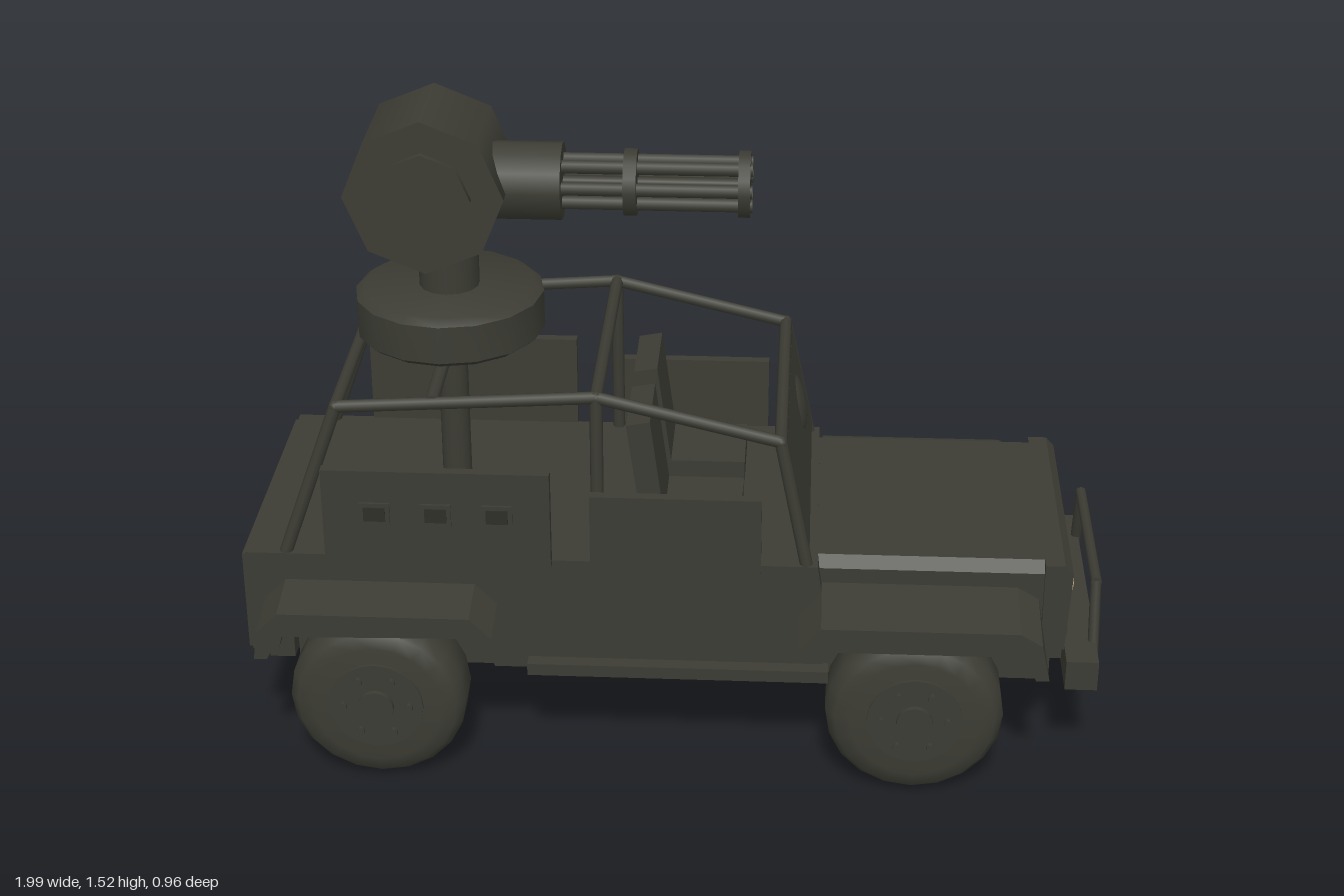
import * as THREE from 'three';
import { toCreasedNormals } from 'three/addons/utils/BufferGeometryUtils.js';

export function createModel() {
  const root = new THREE.Group();
  root.name = 'armedUtilityVehicle';
  const mat = (name, color) => Object.assign(new THREE.MeshStandardMaterial({ color }), { name });
  const olive = mat('darkOlive', 0x3c3c34);
  const dark = mat('slotDark', 0x2e2e28);
  const cream = mat('lampCream', 0xe3cd9c);

  const add = (name, geo, m = olive, parent = root) => {
    const mesh = new THREE.Mesh(geo, m);
    mesh.name = name;
    parent.add(mesh);
    return mesh;
  };
  // Box given by its limits on each axis
  const box = (name, x0, x1, y0, y1, z0, z1, m, parent) => {
    const g = new THREE.BoxGeometry(x1 - x0, y1 - y0, z1 - z0);
    return add(name, g.translate((x0 + x1) / 2, (y0 + y1) / 2, (z0 + z1) / 2), m, parent);
  };
  // Straight rod between two points
  const rod = (name, a, b, r, sides = 8) => {
    const A = new THREE.Vector3(...a), B = new THREE.Vector3(...b);
    const d = B.clone().sub(A);
    const mesh = add(name, new THREE.CylinderGeometry(r, r, d.length(), sides));
    mesh.position.copy(A).add(B).multiplyScalar(0.5);
    mesh.quaternion.setFromUnitVectors(new THREE.Vector3(0, 1, 0), d.normalize());
    return mesh;
  };
  // Side profile pushed out from z0 to z1
  const slab = (pts, z0, z1) => {
    const shape = new THREE.Shape(pts.map(p => new THREE.Vector2(...p)));
    return new THREE.ExtrudeGeometry(shape, { depth: z1 - z0, bevelEnabled: false }).translate(0, 0, z0);
  };

  // Body tub with wheel arches, and the narrower chassis
  add('bodyTub', slab([
    [-0.99, 0.28], [-0.93, 0.28], [-0.89, 0.42], [-0.47, 0.42], [-0.42, 0.25],
    [0.34, 0.25], [0.36, 0.33], [0.33, 0.54], [-0.99, 0.54]], -0.35, 0.35));
  box('chassis', -0.9, 0.88, 0.2, 0.36, -0.26, 0.26);
  box('innerBody', -0.97, 0.86, 0.3, 0.535, -0.295, 0.295);
  box('tailgate', -1, -0.93, 0.28, 0.53, -0.34, 0.34);
  for (const s of [-1, 1]) {
    box('rearHook', -0.96, -0.9, 0.235, 0.29, s * 0.26 - 0.05, s * 0.26 + 0.05);
    box('sideStep', -0.34, 0.36, 0.25, 0.28, s * 0.365 - 0.02, s * 0.365 + 0.02);
  }

  // Hood with a chamfered top, and the nose
  const hood = slab([[-0.31, 0.4], [0.31, 0.4], [0.31, 0.515], [0.29, 0.542], [-0.29, 0.542], [-0.31, 0.515]], 0.33, 0.87);
  add('hood', hood.rotateY(Math.PI / 2));
  add('grillePanel', slab([[0.85, 0.32], [0.905, 0.32], [0.915, 0.52], [0.895, 0.542], [0.85, 0.542]], -0.32, 0.32));
  for (let i = -3; i <= 3; i++) {
    box('grilleSlot', 0.91, 0.916, 0.36, 0.51, i * 0.05 - 0.01, i * 0.05 + 0.01, dark);
  }
  for (const s of [-1, 1]) {
    const lamp = add('headlight', new THREE.SphereGeometry(0.036, 16, 10), cream);
    lamp.scale.x = 0.4;
    lamp.position.set(0.912, 0.455, s * 0.23);
    const rim = add('headlightRim', new THREE.TorusGeometry(0.037, 0.005, 6, 16).rotateY(Math.PI / 2));
    rim.position.set(0.914, 0.455, s * 0.23);
    box('bumperBracket', 0.84, 0.92, 0.24, 0.33, s * 0.2 - 0.03, s * 0.2 + 0.03);
    rod('guardPost', [0.98, 0.27, s * 0.26], [0.98, 0.445, s * 0.21], 0.013);
  }
  box('frontBumper', 0.91, 0.985, 0.23, 0.305, -0.35, 0.35);
  rod('guardBar', [0.98, 0.445, -0.22], [0.98, 0.445, 0.22], 0.013);

  // Fenders: bent plates that fall towards the outside
  const front = [[0.29, 0.42], [0.34, 0.48], [0.79, 0.48], [0.84, 0.45], [0.86, 0.33], [0.83, 0.33], [0.8, 0.42]];
  const rear = [[-0.41, 0.43], [-0.46, 0.48], [-0.9, 0.48], [-0.95, 0.43], [-0.96, 0.33], [-0.93, 0.33], [-0.9, 0.42]];
  for (const s of [-1, 1]) {
    [front, rear].forEach((pts, i) => {
      const g = slab(pts, s > 0 ? 0.295 : -0.475, s > 0 ? 0.475 : -0.295);
      const p = g.attributes.position;
      for (let k = 0; k < p.count; k++) {
        if (p.getY(k) > 0.4) p.setY(k, p.getY(k) - (Math.abs(p.getZ(k)) - 0.295) * 0.16);
      }
      g.computeVertexNormals();
      add(i ? 'rearFender' : 'frontFender', g);
    });
  }

  // Wheels: rounded tyre, rim, hub and bolts
  const tyreProfile = [[0, -0.08], [0.15, -0.08], [0.185, -0.072], [0.205, -0.045], [0.205, 0.045],
    [0.185, 0.072], [0.15, 0.08], [0, 0.08]].map(p => new THREE.Vector2(...p));
  const tyre = toCreasedNormals(new THREE.LatheGeometry(tyreProfile, 20), 0.9).rotateX(Math.PI / 2);
  const disc = (r, h, n = 16) => new THREE.CylinderGeometry(r, r, h, n).rotateX(Math.PI / 2);
  for (const x of [-0.685, 0.56]) for (const s of [-1, 1]) {
    const wheel = new THREE.Group();
    wheel.name = 'wheel';
    wheel.position.set(x, 0.205, s * 0.38);
    if (s < 0) wheel.rotation.y = Math.PI;
    root.add(wheel);
    add('tyre', tyre, olive, wheel);
    add('rim', disc(0.11, 0.012, 20), olive, wheel).position.z = 0.08;
    add('hub', disc(0.042, 0.02), olive, wheel).position.z = 0.088;
    for (let i = 0; i < 6; i++) {
      const a = i * Math.PI / 3;
      add('bolt', disc(0.01, 0.012, 6), olive, wheel).position.set(0.077 * Math.cos(a), 0.077 * Math.sin(a), 0.09);
    }
    rod('axle', [x, 0.205, 0], [x, 0.205, s * 0.32], 0.03);
  }

  // Roll cage
  const cage = [[-0.9, 0.53, 0.335], [-0.765, 0.905, 0.315], [-0.175, 0.945, 0.32], [0.24, 0.845, 0.32], [0.305, 0.53, 0.335]];
  for (const s of [-1, 1]) {
    const pts = cage.map(([x, y, z]) => [x, y, s * z]);
    for (let i = 0; i < 4; i++) rod('cageRail', pts[i], pts[i + 1], 0.015);
    rod('cagePost', [-0.175, 0.53, s * 0.335], pts[2], 0.015);
    for (let i = 1; i < 4; i++) {
      add('cageJoint', new THREE.SphereGeometry(0.0155, 8, 6)).position.set(...pts[i]);
    }
  }
  for (const i of [1, 2, 3]) {
    const [x, y, z] = cage[i];
    rod('cageCrossbar', [x, y, -z], [x, y, z], 0.015);
  }

  // Armoured windshield with a round port
  add('windshield', slab([[0.285, 0.57], [0.31, 0.57], [0.255, 0.835], [0.23, 0.835]], -0.325, 0.325));
  const port = add('windshieldPort', new THREE.SphereGeometry(0.075, 18, 12));
  port.scale.x = 0.32;
  port.rotation.z = 0.2;
  port.position.set(0.27, 0.71, -0.145);

  // Side armour with small hatches, and door plates
  for (const s of [-1, 1]) {
    const plate = (name, x0, x1, y0, y1, z, t, m) => box(name, x0, x1, y0, y1, s * z - t / 2, s * z + t / 2, m);
    plate('sideArmour', -0.8, -0.28, 0.53, 0.77, 0.357, 0.025);
    plate('doorPlate', -0.19, 0.2, 0.53, 0.72, 0.36, 0.025);
    for (const x of [-0.68, -0.54, -0.4]) {
      plate('hatchFrame', x - 0.035, x + 0.035, 0.635, 0.69, 0.371, 0.008);
      plate('hatch', x - 0.025, x + 0.025, 0.645, 0.68, 0.374, 0.006, dark);
    }
  }

  // Seats
  for (const s of [-1, 1]) {
    const z0 = s * 0.14 - 0.1, z1 = s * 0.14 + 0.1;
    box('seatCushion', -0.12, 0.15, 0.53, 0.6, z0, z1);
    add('seatBack', slab([[-0.08, 0.58], [-0.025, 0.58], [-0.06, 0.845], [-0.115, 0.835]], z0, z1));
  }

  // Turret mount
  const upright = (name, r0, r1, y0, y1, n) =>
    add(name, new THREE.CylinderGeometry(r1, r0, y1 - y0, n).translate(-0.54, (y0 + y1) / 2, 0));
  upright('mountPole', 0.035, 0.035, 0.53, 0.97, 12);
  rod('mountCrossbar', [-0.545, 0.925, -0.32], [-0.545, 0.925, 0.32], 0.016);
  box('mountPlate', -0.65, -0.42, 0.93, 0.955, -0.11, 0.11);
  const ringProfile = [[0, 0.955], [0.2, 0.955], [0.22, 0.97], [0.22, 1.06], [0.2, 1.075], [0, 1.075]];
  const ring = new THREE.LatheGeometry(ringProfile.map(p => new THREE.Vector2(...p)), 16);
  add('turretRing', toCreasedNormals(ring, 0.7)).position.x = -0.54;
  upright('turretNeck', 0.07, 0.07, 1.07, 1.25, 14);

  // Gun head: eight-sided drum with raised end caps
  add('gunDrum', disc(0.183, 0.255, 8)).position.set(-0.575, 1.335, 0);
  add('drumCaps', disc(0.11, 0.285, 8)).position.set(-0.575, 1.335, 0);
  box('ammoBox', -0.665, -0.49, 1.255, 1.41, -0.22, -0.14);
  const gun = (name, x0, x1, r, n = 12, y = 0, z = 0) => rod(name, [x0, 1.335 + y, z], [x1, 1.335 + y, z], r, n);
  gun('gunReceiver', -0.45, -0.27, 0.09);
  gun('barrelCore', -0.27, 0.13, 0.012);
  for (let i = 0; i < 6; i++) {
    const a = i * Math.PI / 3;
    gun('barrel', -0.28, 0.162, 0.016, 8, 0.05 * Math.sin(a), 0.05 * Math.cos(a));
  }
  gun('barrelBand', -0.13, -0.1, 0.077, 14);
  gun('muzzleBand', 0.13, 0.157, 0.077, 14);
  return root;
}
